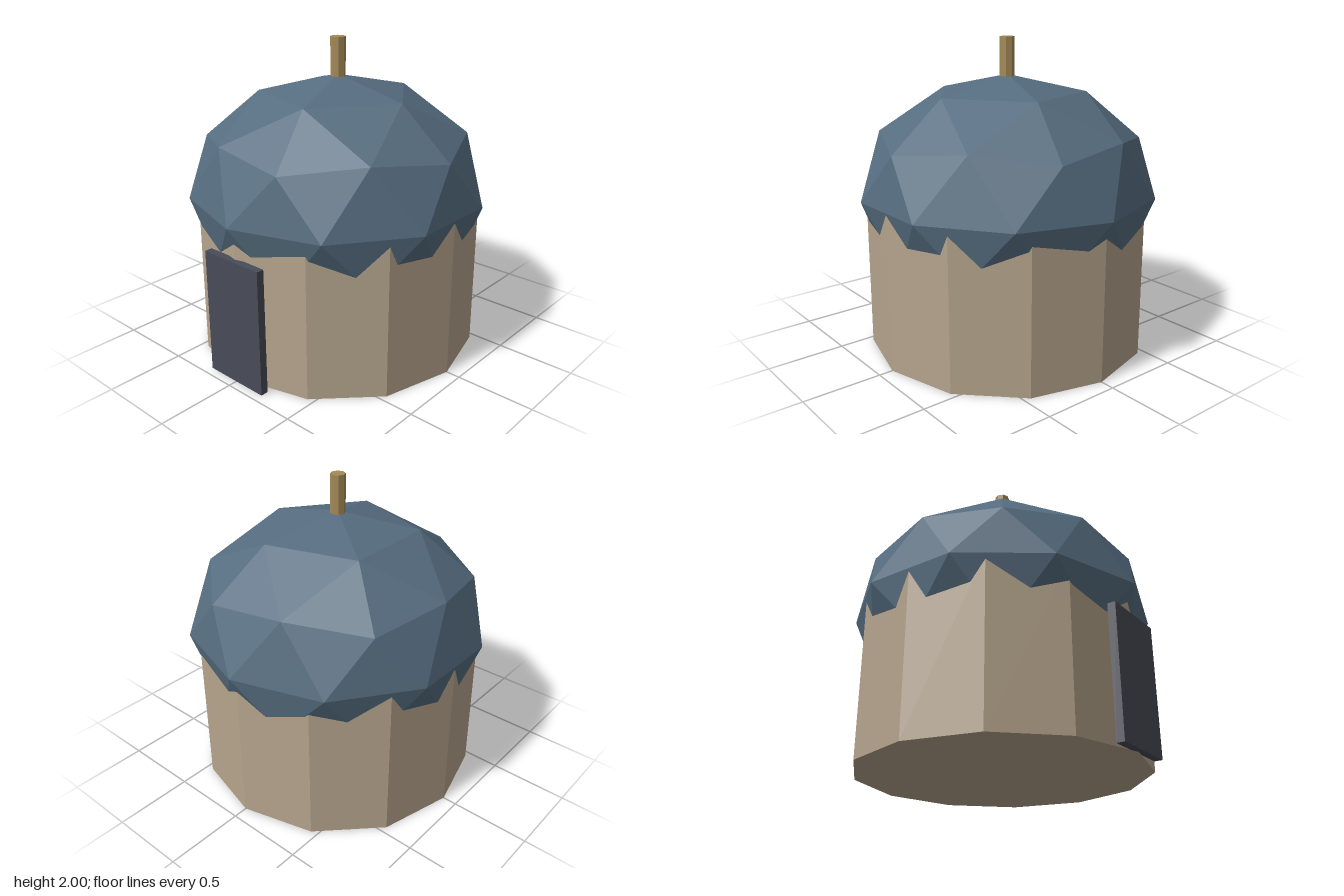
import * as THREE from 'three';

const paint = (name, color) => {
  const m = new THREE.MeshStandardMaterial({ color, flatShading: true });
  m.name = name;
  return m;
};

export function createModel() {
  const hut = new THREE.Group();
  hut.name = 'hut';

  const add = (name, geometry, material, x, y, z) => {
    const mesh = new THREE.Mesh(geometry, material);
    mesh.name = name;
    mesh.position.set(x, y, z);
    hut.add(mesh);
  };

  // Twelve-sided wall, closed below
  const wallHeight = 1.02;
  add('wall', new THREE.CylinderGeometry(0.91, 0.91, wallHeight, 12),
    paint('tan plaster', 0xb5a48c), 0, wallHeight / 2, 0);

  // Faceted dome: a squashed icosphere turned so one corner points up
  const dome = new THREE.IcosahedronGeometry(0.96, 1);
  dome.rotateZ(-Math.atan(2 / (1 + Math.sqrt(5))));
  dome.scale(1, 0.78, 1);
  dome.computeVertexNormals();
  add('domeRoof', dome, paint('slate blue', 0x566d80), 0, 1.017, 0);

  // Door slab standing just proud of the wall
  add('door', new THREE.BoxGeometry(0.45, 0.81, 0.05),
    paint('dark grey', 0x484c57), 0, 0.405, 0.918);

  // Short pole through the crown of the roof
  add('roofPole', new THREE.CylinderGeometry(0.048, 0.048, 0.4, 8),
    paint('ochre wood', 0xa58a57), 0, 1.8, 0);

  return hut;
}
